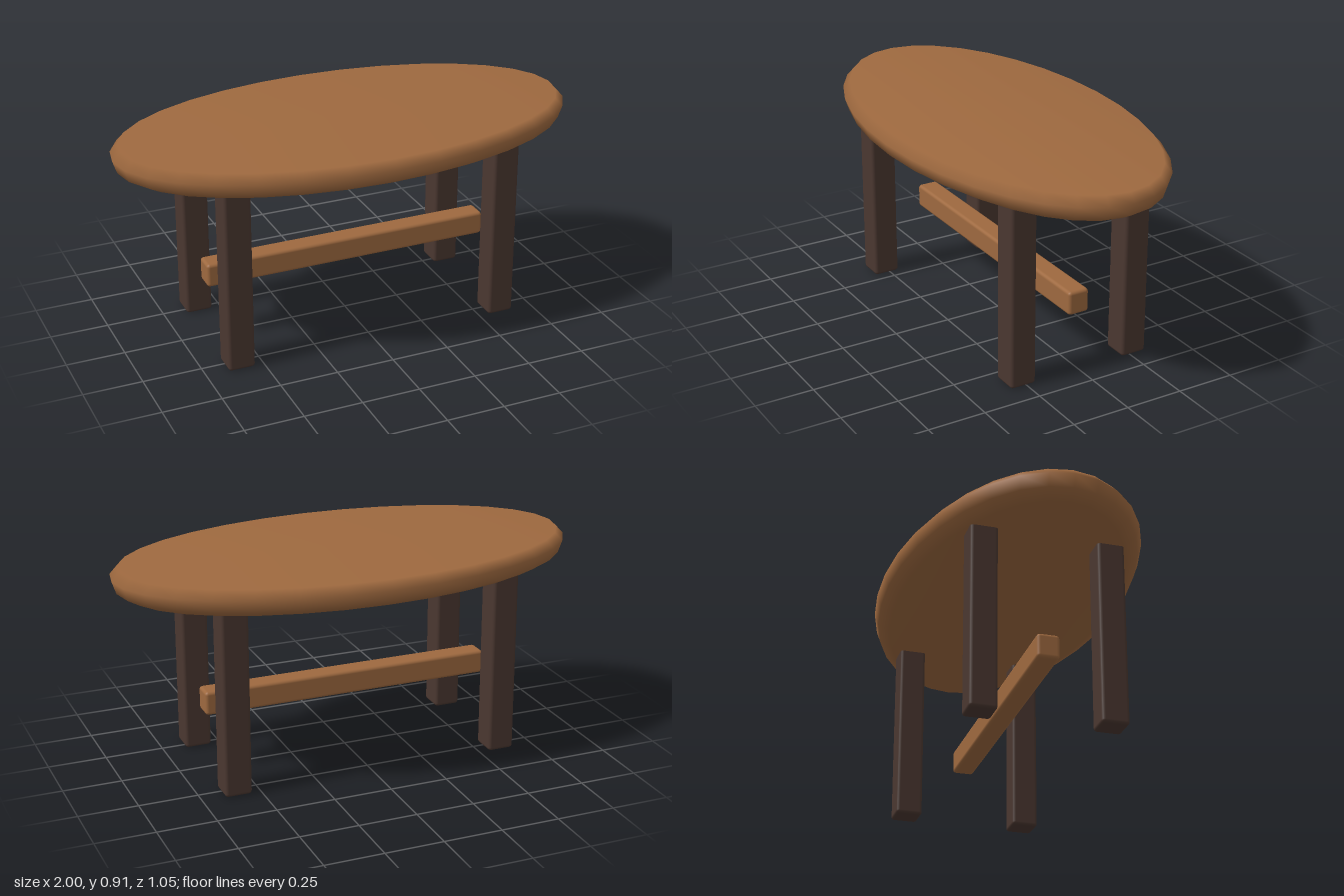
import * as THREE from 'three';
import { mergeVertices } from 'three/addons/utils/BufferGeometryUtils.js';
import { RoundedBoxGeometry } from 'three/addons/geometries/RoundedBoxGeometry.js';

const wood = new THREE.MeshStandardMaterial({ name: 'warm wood', color: 0x9e693f });
const darkWood = new THREE.MeshStandardMaterial({ name: 'dark wood', color: 0x4a3730 });

// Oval slab with a bevelled rim of even width all the way round
function ovalTop() {
  const profile = [[0, 0.787], [0.93, 0.787], [0.982, 0.817], [1, 0.87], [0.967, 0.906], [0, 0.906]];
  const geometry = new THREE.LatheGeometry(profile.map(([r, y]) => new THREE.Vector2(r, y)), 32);
  const p = geometry.attributes.position;
  for (let i = 0; i < p.count; i++) {
    const r = Math.hypot(p.getX(i), p.getZ(i));
    if (r > 0.1) p.setZ(i, p.getZ(i) * (r - 0.475) / r);
  }
  // Weld the seam and centres so the shading runs smoothly
  geometry.deleteAttribute('uv');
  geometry.deleteAttribute('normal');
  const welded = mergeVertices(geometry, 1e-4);
  welded.computeVertexNormals();
  return welded;
}

function addPart(group, name, geometry, material, x, y, z) {
  const mesh = new THREE.Mesh(geometry, material);
  mesh.name = name;
  mesh.position.set(x, y, z);
  group.add(mesh);
}

export function createModel() {
  const table = new THREE.Group();
  table.name = 'oval table';

  addPart(table, 'tableTop', ovalTop(), wood, 0, 0, 0);

  // Four square legs with softened edges, ending just inside the top
  const legGeometry = new RoundedBoxGeometry(0.115, 0.81, 0.115, 2, 0.014);
  for (const [side, x] of [['Left', 0.597], ['Right', -0.597]]) {
    for (const [end, z] of [['front', 0.266], ['back', -0.266]]) {
      addPart(table, `${end}${side}Leg`, legGeometry, darkWood, x, 0.405, z);
    }
  }

  // Long rail between the leg pairs
  addPart(table, 'stretcher', new RoundedBoxGeometry(1.28, 0.103, 0.094, 2, 0.014), wood, 0, 0.302, 0);

  return table;
}
